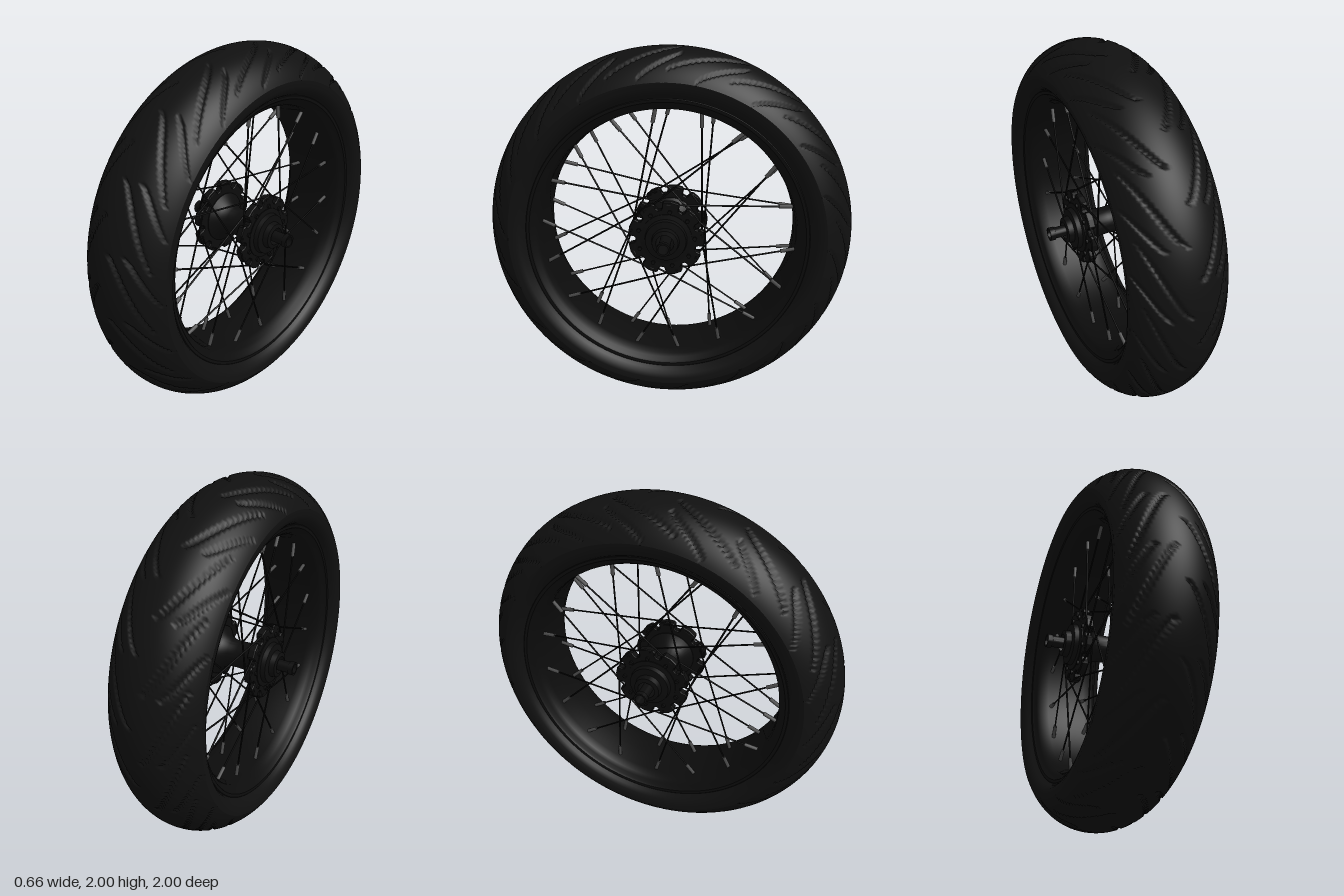
import * as THREE from 'three';
import { toCreasedNormals } from 'three/addons/utils/BufferGeometryUtils.js';

const paint = (color) => new THREE.MeshStandardMaterial({ color });
const rubber = paint(0x101010), black = paint(0x0c0c0c), wire = paint(0x080808), steel = paint(0x4a4a4a);
const DEG = Math.PI / 180;

// Point on the wheel plane: angle runs from -z (0) up to +y (90 degrees).
const polar = (x, r, deg) => new THREE.Vector3(x, r * Math.sin(deg * DEG), -r * Math.cos(deg * DEG));

// Solid of revolution about the x axis from [x, radius] pairs.
function turned(name, pairs, material, segments = 96) {
  const points = pairs.map(([x, r]) => new THREE.Vector2(r, x));
  const mesh = new THREE.Mesh(toCreasedNormals(new THREE.LatheGeometry(points, segments), 0.6), material);
  mesh.rotation.z = -Math.PI / 2;
  mesh.name = name;
  return mesh;
}
const flip = (pairs) => pairs.map(([x, r]) => [-x, r]).reverse();

function rod(a, b, radius, sides, material, name) {
  const mesh = new THREE.Mesh(new THREE.CylinderGeometry(radius, radius, a.distanceTo(b), sides), material);
  mesh.position.copy(a).lerp(b, 0.5);
  mesh.quaternion.setFromUnitVectors(new THREE.Vector3(0, 1, 0), b.clone().sub(a).normalize());
  mesh.name = name;
  return mesh;
}

// Depth of the swept chevron grooves; angle grows from the top toward the front.
function grooveDepth(x, angle) {
  const u = Math.abs(x) / 0.26;
  let depth = 0;
  const cut = (count, shift, from, to, sweep, width) => {
    if (u < from || u > to) return;
    const t = (u - from) / (to - from);
    const pitch = 2 * Math.PI / count;
    const side = x > 0 ? 0 : pitch / 2;
    let d = (angle - shift - side + sweep * (1 - Math.pow(t, 1.4))) / pitch;
    d = Math.abs(d - Math.round(d)) * pitch;
    const w = width * Math.sqrt(Math.sin(Math.PI * Math.min(Math.max(t, 0.02), 0.98)));
    if (d < w) depth = Math.max(depth, 0.013 * Math.min(1, 2 * (1 - d / w)));
  };
  cut(18, 0, 0.1, 0.85, 0.42, 0.026);
  cut(18, 0.17, 0.42, 0.96, 0.25, 0.02);
  return depth;
}

// Rounded tread with carved grooves
function makeTread() {
  const around = 600, across = 48, arcR = 0.295, arcC = 0.705;
  const half = Math.asin(0.26 / arcR);
  const pos = [], index = [];
  for (let i = 0; i < around; i++) {
    const a = i / around * 2 * Math.PI;
    for (let j = 0; j <= across; j++) {
      const b = (j / across * 2 - 1) * half;
      const x = arcR * Math.sin(b);
      const r = arcC + arcR * Math.cos(b) - grooveDepth(x, a);
      pos.push(x, r * Math.cos(a), r * Math.sin(a));
      if (j < across) {
        const p = i * (across + 1) + j, q = ((i + 1) % around) * (across + 1) + j;
        index.push(p, q, q + 1, p, q + 1, p + 1);
      }
    }
  }
  const g = new THREE.BufferGeometry();
  g.setAttribute('position', new THREE.Float32BufferAttribute(pos, 3));
  g.setIndex(index);
  g.computeVertexNormals();
  // Make sure the surface faces outward
  const n = g.attributes.normal, mid = across / 2;
  if (n.getY(mid) < 0) { g.setIndex(index.reverse()); g.computeVertexNormals(); }
  const mesh = new THREE.Mesh(g, rubber);
  mesh.name = 'tread';
  return mesh;
}

// Lobed spoke flange: nine lobes separated by rounded notches
function makeFlange(s) {
  const shape = new THREE.Shape();
  for (let k = 0; k < 9; k++) {
    const c = 2.6 + 40 * k;
    for (const [da, r] of [[-14, 0.198], [-11, 0.208], [0, 0.211], [11, 0.208], [14, 0.198], [14.5, 0.178], [17, 0.168], [23, 0.168], [25.5, 0.178]]) {
      const a = (c + da) * DEG, x = r * Math.cos(a), y = r * Math.sin(a);
      if (k === 0 && da === -14) shape.moveTo(x, y); else shape.lineTo(x, y);
    }
  }
  shape.closePath();
  const hole = new THREE.Path();
  hole.absarc(0, 0, 0.07, 0, 2 * Math.PI, true);
  shape.holes.push(hole);
  const g = new THREE.ExtrudeGeometry(shape, { depth: 0.03, bevelEnabled: true, bevelSize: 0.004, bevelOffset: -0.004, bevelThickness: 0.005, bevelSegments: 1, curveSegments: 12 });
  g.translate(0, 0, -0.015);
  const mesh = new THREE.Mesh(g, black);
  mesh.rotation.y = Math.PI / 2;
  mesh.position.x = s * 0.15;
  mesh.name = s > 0 ? 'leftFlange' : 'rightFlange';
  return mesh;
}

export function createModel() {
  const wheel = new THREE.Group();
  wheel.name = 'wheel';
  wheel.position.y = 1;

  // Tyre
  const wall = [[0.26, 0.845], [0.258, 0.815], [0.248, 0.79], [0.23, 0.772], [0.205, 0.758], [0.19, 0.745]];
  wheel.add(makeTread(), turned('leftSidewall', wall, rubber, 160), turned('rightSidewall', flip(wall), rubber, 160));

  // Rim with raised lips and a nearly flat barrel
  const rim = [[0.17, 0.775], [0.205, 0.77], [0.212, 0.758], [0.21, 0.742], [0.198, 0.735], [0.188, 0.715], [0.17, 0.702], [0.12, 0.695], [0, 0.69]];
  wheel.add(turned('rim', [...rim, ...flip(rim).slice(1)], black, 160));

  // Hub: waisted barrel, flared flange seats, stepped bearing bosses and open bore
  const hub = [[0, 0.075], [0.05, 0.078], [0.09, 0.095], [0.125, 0.14], [0.175, 0.14], [0.18, 0.115], [0.205, 0.11], [0.21, 0.075], [0.24, 0.07], [0.245, 0.048]];
  const hubHalf = flip(hub);
  wheel.add(turned('hub', [...hubHalf, ...hub.slice(1), hubHalf[0]], black, 48));

  // Hollow axle with wider end caps
  const axle = [[0, 0.031], [0.302, 0.031], [0.304, 0.037], [0.332, 0.037], [0.332, 0.027]];
  const axleHalf = flip(axle);
  wheel.add(turned('axle', [...axleHalf, ...axle.slice(1), axleHalf[0]], black, 24));

  for (const s of [1, -1]) {
    wheel.add(makeFlange(s));
    // Flange bolts
    for (let k = 0; k < 9; k++) {
      const a = 2.6 + 40 * k;
      wheel.add(rod(polar(s * 0.16, 0.155, a), polar(s * 0.18, 0.155, a), 0.012, 6, black, 'flangeBolt'));
    }
    // Crossed spokes, leaning alternately each way, with nipples at the rim
    for (let k = 0; k < 18; k++) {
      const lean = k % 2 ? -1 : 1;
      const rimAngle = 12.6 + 20 * k + s * 2.5;
      const outer = polar(s * 0.1, 0.695, rimAngle);
      const inner = polar(s * (0.15 + 0.018 * lean), 0.192, 12.6 + 20 * k + lean * 77);
      const neck = outer.clone().lerp(inner, 0.075 / outer.distanceTo(inner));
      wheel.add(rod(inner, neck, 0.005, 6, wire, 'spoke'));
      wheel.add(rod(neck, outer, 0.011, 8, steel, 'spokeNipple'));
    }
  }

  const model = new THREE.Group();
  model.name = 'spokedWheel';
  model.add(wheel);
  return model;
}
